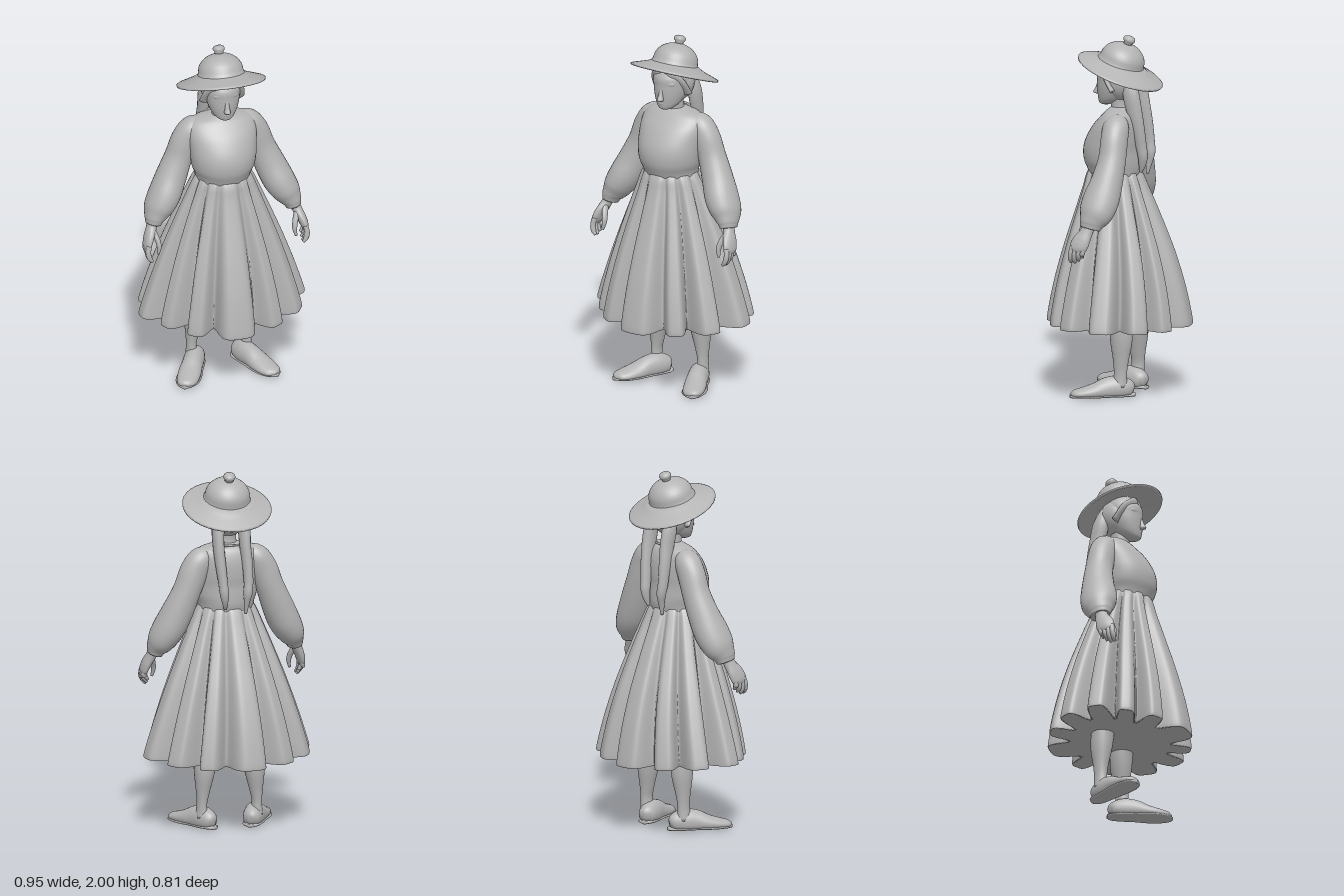
import * as THREE from 'three';

const grey = new THREE.MeshStandardMaterial({ color: 0xb4b4b4 });
grey.name = 'clay grey';

// Smooth closed sweep through [x, y, z, radiusU, radiusV] stations.
// axis fixes the ring plane; ref is the direction of radiusU.
function sweep(stations, { axis, ref = [1, 0, 0], steps = 24, sides = 24, scale, deform } = {}) {
  const path = new THREE.CatmullRomCurve3(stations.map(s => new THREE.Vector3(s[0], s[1], s[2])), false, 'catmullrom', 0.5);
  const radii = new THREE.CatmullRomCurve3(stations.map(s => new THREE.Vector3(s[3], s[4], 0)), false, 'catmullrom', 0.5);
  const pos = [], index = [], R = new THREE.Vector3(...ref);
  const push = p => { if (deform) deform(p); pos.push(p.x, p.y, p.z); };
  for (let i = 0; i <= steps; i++) {
    const t = i / steps, c = path.getPoint(t), r = radii.getPoint(t);
    const T = axis ? new THREE.Vector3(...axis) : path.getTangent(t);
    const U = R.clone().addScaledVector(T, -R.dot(T)).normalize();
    const V = T.clone().cross(U);
    for (let j = 0; j < sides; j++) {
      const a = j / sides * Math.PI * 2, k = scale ? scale(a, t) : 1;
      push(c.clone().addScaledVector(U, r.x * k * Math.cos(a)).addScaledVector(V, r.y * k * Math.sin(a)));
      if (i < steps) {
        const p = i * sides + j, q = i * sides + (j + 1) % sides;
        index.push(p, q, q + sides, p, q + sides, p + sides);
      }
    }
  }
  const n = (steps + 1) * sides;
  push(path.getPoint(0));
  push(path.getPoint(1));
  for (let j = 0; j < sides; j++) {
    const k = (j + 1) % sides, top = steps * sides;
    index.push(n, k, j, n + 1, top + j, top + k);
  }
  const g = new THREE.BufferGeometry();
  g.setAttribute('position', new THREE.Float32BufferAttribute(pos, 3));
  g.setIndex(index);
  g.computeVertexNormals();
  return g;
}

// Skirt folds: [angle from the front in degrees, reach, width]
const folds = [[0, 0.965, 22], [33, 0.89, 12], [62, 0.94, 13], [96, 1, 14], [128, 0.97, 14], [153, 0.95, 12], [187, 1, 18],
  [217, 0.95, 14], [245, 0.98, 14], [275, 1, 14], [298, 0.87, 12], [327, 0.88, 12], [360, 0.965, 22]];
function pleat(a, t) {
  const d = (a * 180 / Math.PI + 90) % 360;
  const i = folds.findIndex((f, k) => d >= f[0] && d < folds[k + 1][0]);
  const [a0, r0, w0] = folds[i], [a1, r1, w1] = folds[i + 1];
  const u = (d - a0) / (a1 - a0), valley = w0 / (w0 + w1);
  const v = u < valley ? u / valley / 2 : 0.5 + (u - valley) / (1 - valley) / 2;
  const reach = 1 + (THREE.MathUtils.lerp(r0, r1, THREE.MathUtils.smoothstep(v, 0.25, 0.75)) - 1) * (1 - t);
  return reach - (0.33 - 0.29 * Math.pow(t, 1.3)) * Math.pow(Math.sin(v * Math.PI), 6);
}

export function createModel() {
  const model = new THREE.Group();
  const add = (name, geometry, parent = model) => {
    const m = new THREE.Mesh(geometry, grey);
    m.name = name;
    parent.add(m);
    return m;
  };
  const ball = (name, p, r) => {
    const m = add(name, new THREE.SphereGeometry(1, 24, 16));
    m.position.set(...p);
    m.scale.set(...r);
  };
  const lathe = (name, profile, z, parent) => {
    const m = add(name, new THREE.LatheGeometry(profile.map(p => new THREE.Vector2(...p)), 36), parent);
    m.position.z = z;
  };
  const up = { axis: [0, 1, 0] };

  // Pleated skirt, deepest folds at the hem
  add('skirt', sweep([
    [0, 0.388, 0, 0.45, 0.385], [0, 0.39, 0, 0.466, 0.4], [0, 0.41, 0, 0.474, 0.41], [0, 0.6, 0, 0.417, 0.372],
    [0, 0.8, 0.002, 0.347, 0.314], [0, 1.0, 0.008, 0.268, 0.242], [0, 1.15, 0.015, 0.205, 0.185],
    [0, 1.22, 0.02, 0.174, 0.16], [0, 1.265, 0.02, 0.145, 0.135],
  ], { ...up, steps: 40, sides: 360, scale: pleat, deform: p => { p.y += 0.1 * p.x * p.x * (1.27 - p.y); } }));

  // Bodice and round neckline
  add('bodice', sweep([
    [0, 1.2, 0.015, 0.15, 0.13], [0, 1.26, 0.02, 0.158, 0.152], [0, 1.31, 0.028, 0.176, 0.162],
    [0, 1.37, 0.03, 0.185, 0.162], [0, 1.43, 0.019, 0.19, 0.156], [0, 1.5, 0, 0.195, 0.135],
    [0, 1.55, -0.016, 0.187, 0.108], [0, 1.58, -0.022, 0.156, 0.086], [0, 1.597, -0.02, 0.09, 0.064], [0, 1.605, -0.018, 0.056, 0.054],
  ], { ...up, steps: 45, sides: 40 }));
  const collar = add('neckline', new THREE.TorusGeometry(0.083, 0.006, 8, 40));
  collar.rotation.x = Math.PI / 2 + 0.2;
  collar.position.set(0, 1.583, -0.018);

  // Neck, head and face
  add('neck', sweep([[0, 1.54, -0.03, 0.066, 0.066], [0, 1.61, -0.012, 0.052, 0.052], [0, 1.7, -0.01, 0.055, 0.06]], up));
  add('head', sweep([
    [0, 1.612, 0.072, 0.018, 0.022], [0, 1.622, 0.064, 0.042, 0.044], [0, 1.65, 0.04, 0.068, 0.074],
    [0, 1.7, 0.02, 0.089, 0.098], [0, 1.75, 0.012, 0.098, 0.106], [0, 1.8, 0.007, 0.1, 0.107], [0, 1.86, -0.01, 0.075, 0.08],
  ], { ...up, steps: 32, sides: 32 }));
  add('nose', sweep([
    [0, 1.666, 0.111, 0.01, 0.008], [0, 1.675, 0.12, 0.018, 0.024], [0, 1.7, 0.115, 0.014, 0.018],
    [0, 1.74, 0.108, 0.011, 0.01], [0, 1.765, 0.104, 0.005, 0.005],
  ], { ...up, sides: 16 }));
  ball('lips', [0, 1.65, 0.106], [0.024, 0.009, 0.009]);
  ball('brow', [0, 1.768, 0.078], [0.075, 0.03, 0.038]);
  ball('hair', [0, 1.752, -0.022], [0.109, 0.115, 0.105]);

  for (const s of [1, -1]) {
    const side = new THREE.Group();
    side.name = s > 0 ? 'leftSide' : 'rightSide';
    model.add(side);
    const part = (name, stations, options) =>
      add(name, sweep(stations.map(([x, ...rest]) => [s * x, ...rest]), options), side);

    // Swept fringe and braid
    part('fringe', [[0, 1.84, 0.08, 0.015, 0.025], [0.045, 1.815, 0.082, 0.014, 0.03],
      [0.082, 1.77, 0.045, 0.014, 0.034], [0.096, 1.7, 0, 0.014, 0.034]], { ref: [0, 0, 1], sides: 16 });
    const spread = s > 0 ? 0 : 0.025;
    part('braid', [[0.05, 1.79, -0.075, 0.03, 0.03], [0.073, 1.7, -0.095, 0.034, 0.046], [0.076, 1.6, -0.116, 0.031, 0.045],
      [0.07 + spread / 2, 1.5, -0.138, 0.029, 0.036], [0.06 + spread, 1.4, -0.152, 0.026, 0.031],
      [0.055 + spread, 1.34, -0.16, 0.025, 0.028], [0.05 + spread, 1.29, -0.155, 0.017, 0.02],
      [0.045 + spread, s > 0 ? 1.25 : 1.22, -0.145, 0.008, 0.008]], { steps: 36, sides: 16 });

    // Full sleeve gathered into a cuff
    part('sleeve', [[0.1, 1.535, -0.035, 0.05, 0.045], [0.155, 1.517, -0.038, 0.072, 0.07], [0.196, 1.45, -0.04, 0.075, 0.08],
      [0.235, 1.35, -0.04, 0.077, 0.078], [0.28, 1.24, -0.027, 0.088, 0.086], [0.325, 1.14, -0.006, 0.102, 0.089],
      [0.365, 1.07, 0.01, 0.096, 0.079], [0.388, 1.025, 0.025, 0.074, 0.06], [0.395, 1.005, 0.03, 0.064, 0.05],
      [0.4, 0.985, 0.034, 0.056, 0.043]], { ref: [0, 0, 1], steps: 44, sides: 28 });

    // Hand with closed, curled fingers and thumb
    part('hand', [[0.398, 1.02, 0.035, 0.034, 0.029], [0.415, 0.97, 0.05, 0.037, 0.028], [0.435, 0.925, 0.072, 0.05, 0.026],
      [0.448, 0.885, 0.088, 0.05, 0.022], [0.452, 0.862, 0.094, 0.032, 0.014]], { ref: [0, 0, 1], sides: 18 });
    for (let f = 0; f < 4; f++) {
      const z = 0.054 + f * 0.022, drop = [0.03, 0.012, 0, 0.002][f];
      part('finger', [[0.446, 0.895, z, 0.015, 0.015], [0.453, 0.855, z + 0.008, 0.015, 0.015],
        [0.446, 0.82 + drop, z + 0.012, 0.014, 0.014], [0.43, 0.798 + drop, z + 0.014, 0.008, 0.008]],
      { ref: [0, 0, 1], steps: 12, sides: 10 });
    }
    part('thumb', [[0.41, 0.96, 0.07, 0.02, 0.016], [0.393, 0.915, 0.098, 0.019, 0.015],
      [0.387, 0.875, 0.112, 0.016, 0.013], [0.394, 0.835, 0.117, 0.007, 0.007]], { ref: [0, 0, 1], steps: 14, sides: 12 });

    // Leg and splayed slipper
    part('leg', [[0.155, 0.06, -0.06, 0.036, 0.042], [0.157, 0.13, -0.063, 0.028, 0.037], [0.152, 0.2, -0.064, 0.037, 0.043],
      [0.144, 0.3, -0.064, 0.055, 0.06], [0.138, 0.38, -0.06, 0.064, 0.064], [0.13, 0.5, -0.05, 0.068, 0.068]], up);
    part('shoe', [[0.103, 0.04, -0.122, 0.015, 0.02], [0.115, 0.045, -0.102, 0.044, 0.05], [0.141, 0.048, -0.05, 0.056, 0.07],
      [0.17, 0.044, 0.01, 0.058, 0.066], [0.2, 0.032, 0.07, 0.063, 0.048], [0.23, 0.024, 0.13, 0.06, 0.034],
      [0.253, 0.02, 0.17, 0.045, 0.025], [0.263, 0.018, 0.19, 0.015, 0.012]],
    { steps: 32, deform: p => { p.y = Math.max(p.y, 0.012); } });
    part('sole', [[0.1, 0.01, -0.13, 0.02, 0.01], [0.113, 0.01, -0.105, 0.047, 0.01], [0.141, 0.01, -0.05, 0.057, 0.01],
      [0.17, 0.01, 0.01, 0.06, 0.01], [0.201, 0.01, 0.07, 0.069, 0.01], [0.231, 0.01, 0.13, 0.066, 0.01],
      [0.255, 0.01, 0.172, 0.046, 0.01], [0.266, 0.01, 0.194, 0.014, 0.01]], { steps: 32, sides: 12 });
  }

  // Tilted wide-brimmed hat with domed crown and knob
  const hat = new THREE.Group();
  hat.name = 'hat';
  hat.position.set(0, 1.8, -0.012);
  hat.rotation.x = -0.36;
  model.add(hat);
  lathe('brim', [[0, 0.04], [0.12, 0.032], [0.18, 0.016], [0.236, -0.008], [0.246, -0.006], [0.248, 0.002], [0.238, 0.008],
    [0.19, 0.024], [0.15, 0.038], [0.12, 0.055], [0, 0.06]], 0, hat);
  const crown = [[0.136, 0.035], [0.128, 0.055]];
  for (let i = 0; i <= 9; i++) {
    const a = i / 9 * Math.PI / 2;
    crown.push([i < 9 ? 0.125 * Math.cos(a) : 0, 0.065 + 0.098 * Math.sin(a)]);
  }
  lathe('crown', crown, 0.012, hat);
  lathe('knob', [[0, 0.155], [0.024, 0.155], [0.024, 0.17], [0.031, 0.178], [0.034, 0.189], [0.028, 0.2], [0.015, 0.206], [0, 0.207]],
    0.015, hat);

  return model;
}
